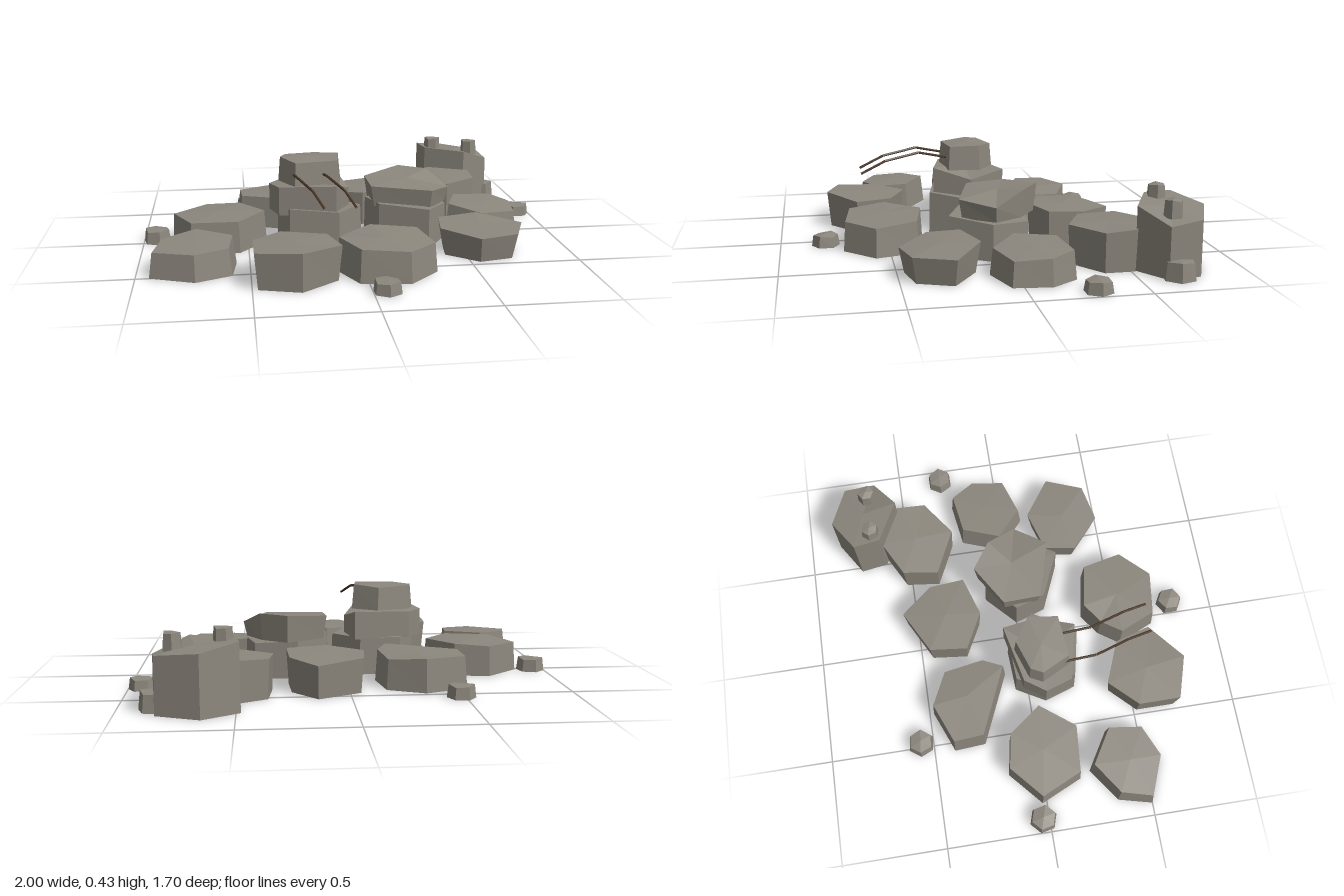
import * as THREE from 'three';

const stone = new THREE.MeshStandardMaterial({ color: 0x8c877d });
stone.name = 'stone grey';
stone.flatShading = true;
const bark = new THREE.MeshStandardMaterial({ color: 0x4a3828 });
bark.name = 'bark brown';

// Faceted boulder: a plan outline of [x, z] corners lofted from a base ring to an uneven top ring
function boulder(name, outline, y0, heights, base = 0.96, top = 0.98) {
  const n = outline.length;
  const cx = outline.reduce((s, p) => s + p[0], 0) / n;
  const cz = outline.reduce((s, p) => s + p[1], 0) / n;
  const ring = (scale, yAt) => outline.map(([x, z], i) =>
    new THREE.Vector3(cx + (x - cx) * scale, yAt(i), cz + (z - cz) * scale));
  const low = ring(base, () => y0);
  const high = ring(top, i => heights[i % heights.length]);
  const mean = high.reduce((s, p) => s + p.y, 0) / n;
  const lowMid = new THREE.Vector3(cx, y0, cz);
  const highMid = new THREE.Vector3(cx, mean + 0.006, cz);
  const pts = [];
  for (let i = 0; i < n; i++) {
    const j = (i + 1) % n;
    pts.push(highMid, high[j], high[i]);
    pts.push(lowMid, low[i], low[j]);
    pts.push(low[i], high[i], high[j], low[i], high[j], low[j]);
  }
  const geo = new THREE.BufferGeometry().setFromPoints(pts);
  geo.computeVertexNormals();
  const mesh = new THREE.Mesh(geo, stone);
  mesh.name = name;
  return mesh;
}

// Small six-sided stone
function pebble(name, x, z, r, y0, y1, turn) {
  const outline = [];
  for (let i = 0; i < 6; i++) {
    const a = Math.PI + turn + i * Math.PI / 3;
    outline.push([x + r * Math.cos(a), z + r * Math.sin(a)]);
  }
  return boulder(name, outline, y0, [y1, y1 - 0.004, y1 - 0.008], 1, 0.88);
}

// Thin bent twig made of straight lengths
function twig(name, x) {
  const group = new THREE.Group();
  group.name = name;
  const path = [[x, 0.36, 0.17], [x, 0.39, 0.32], [x + 0.06, 0.365, 0.49], [x + 0.1, 0.315, 0.61]]
    .map(p => new THREE.Vector3(...p));
  for (let i = 0; i < 3; i++) {
    const line = new THREE.LineCurve3(path[i], path[i + 1]);
    const mesh = new THREE.Mesh(new THREE.TubeGeometry(line, 1, 0.006, 6), bark);
    mesh.name = 'twigLength';
    group.add(mesh);
  }
  return group;
}

export function createModel() {
  const model = new THREE.Group();
  model.name = 'rockPile';

  // Outer ring of boulders
  model.add(
    boulder('backLeftBoulder', [[-0.54, -0.40], [-0.34, -0.48], [-0.17, -0.40], [-0.14, -0.10 - 0.1], [-0.19, -0.10], [-0.53, -0.25]],
      0, [0.15, 0.155, 0.14, 0.15, 0.16, 0.155], 1, 0.95),
    boulder('backBoulder', [[-0.06, -0.45], [0.15, -0.56], [0.27, -0.41], [0.28, -0.24], [0.09, -0.18], [-0.08, -0.27]],
      0, [0.16, 0.15, 0.16, 0.17, 0.17, 0.16], 0.94, 1),
    boulder('backRightBoulder', [[0.36, -0.53], [0.53, -0.62], [0.72, -0.52], [0.72, -0.38], [0.55, -0.26], [0.34, -0.36]],
      0, [0.18, 0.19, 0.19, 0.18, 0.18, 0.17], 0.96, 1),
    boulder('tallBoulder', [[0.48, -0.75], [0.64, -0.85], [0.83, -0.77], [0.85, -0.62], [0.70, -0.52], [0.50, -0.62]],
      0, [0.30, 0.27, 0.25, 0.23, 0.29, 0.30], 1, 0.99),
    boulder('rightBoulder', [[0.56, -0.21], [0.77, -0.24], [0.85, -0.12], [0.83, 0.05], [0.64, 0.11], [0.49, -0.02]],
      0, [0.14, 0.13, 0.12, 0.11, 0.12, 0.14], 1, 0.93),
    boulder('frontRightBoulder', [[0.40, 0.20], [0.60, 0.14], [0.79, 0.27], [0.72, 0.45], [0.54, 0.49], [0.38, 0.35]],
      0, [0.14, 0.14, 0.12, 0.12, 0.115, 0.13], 0.87, 1),
    boulder('frontBoulder', [[-0.05, 0.40], [0.05, 0.33], [0.27, 0.37], [0.32, 0.57], [0.18, 0.71], [-0.04, 0.68], [-0.12, 0.50]],
      0, [0.15, 0.16, 0.15, 0.135, 0.14, 0.15, 0.155], 1, 0.95),
    boulder('frontLeftBoulder', [[-0.49, 0.51], [-0.36, 0.38], [-0.16, 0.46], [-0.11, 0.63], [-0.29, 0.77], [-0.49, 0.71]],
      0, [0.16, 0.155, 0.16, 0.16, 0.175, 0.165], 0.92, 1),
    boulder('leftFrontBoulder', [[-0.90, 0.34], [-0.74, 0.23], [-0.56, 0.34], [-0.58, 0.51], [-0.74, 0.58], [-0.94, 0.50]],
      0, [0.13, 0.14, 0.135, 0.125, 0.12, 0.115], 1, 0.92),
    boulder('leftBoulder', [[-0.86, -0.02], [-0.70, -0.16], [-0.53, -0.13], [-0.41, 0.03], [-0.54, 0.20], [-0.77, 0.18]],
      0, [0.14, 0.145, 0.155, 0.155, 0.15, 0.145], 1, 0.96),
  );

  // Three-stone stack
  model.add(
    boulder('stackBase', [[-0.36, 0.08], [-0.28, -0.06], [-0.08, -0.07], [0.05, 0.07], [-0.08, 0.28], [-0.31, 0.23]],
      0, [0.19, 0.18, 0.18, 0.18, 0.20, 0.21], 1, 0.97),
    boulder('stackMiddle', [[-0.40, 0.07], [-0.33, -0.03], [-0.05, -0.09], [-0.01, 0.08], [-0.09, 0.26], [-0.36, 0.20]],
      0.175, [0.30, 0.30, 0.31, 0.27, 0.32, 0.31], 0.97, 0.97),
    boulder('stackTop', [[-0.35, 0.06], [-0.32, 0.0], [-0.17, -0.05], [-0.05, 0.03], [-0.07, 0.18], [-0.28, 0.20]],
      0.31, [0.425, 0.425, 0.42, 0.43, 0.425, 0.42], 1, 0.93),
  );

  // Two-stone stack
  model.add(
    boulder('pairBase', [[0.07, 0.0], [0.22, -0.14], [0.43, -0.11], [0.47, 0.06], [0.35, 0.25], [0.12, 0.15]],
      0, [0.20, 0.18, 0.17, 0.17, 0.19, 0.20], 0.99, 0.97),
    boulder('pairTop', [[0.08, -0.06], [0.27, -0.18], [0.40, -0.09], [0.48, 0.05], [0.37, 0.20], [0.09, 0.12]],
      0.18, [0.29, 0.31, 0.31, 0.25, 0.27, 0.28], 0.92, 1),
  );

  // Scattered pebbles, two of them resting on the tall boulder
  model.add(
    pebble('pebbleBack', -0.48, -0.56, 0.065, 0, 0.06, 0.1),
    pebble('pebbleLeft', -0.935, -0.03, 0.067, 0, 0.065, 0.3),
    pebble('pebbleRight', 0.935, -0.285, 0.064, 0, 0.055, 0),
    pebble('pebbleFront', 0.06, 0.79, 0.065, 0, 0.055, 0.5),
    pebble('pebbleCorner', 0.835, -0.67, 0.075, 0, 0.085, 0.2),
    pebble('pebbleOnTopLeft', 0.55, -0.66, 0.045, 0.28, 0.35, 0.2),
    pebble('pebbleOnTopRight', 0.76, -0.66, 0.045, 0.25, 0.33, 0.5),
  );

  // Antenna-like twigs
  model.add(twig('twigLeft', -0.145), twig('twigRight', -0.283));
  return model;
}
